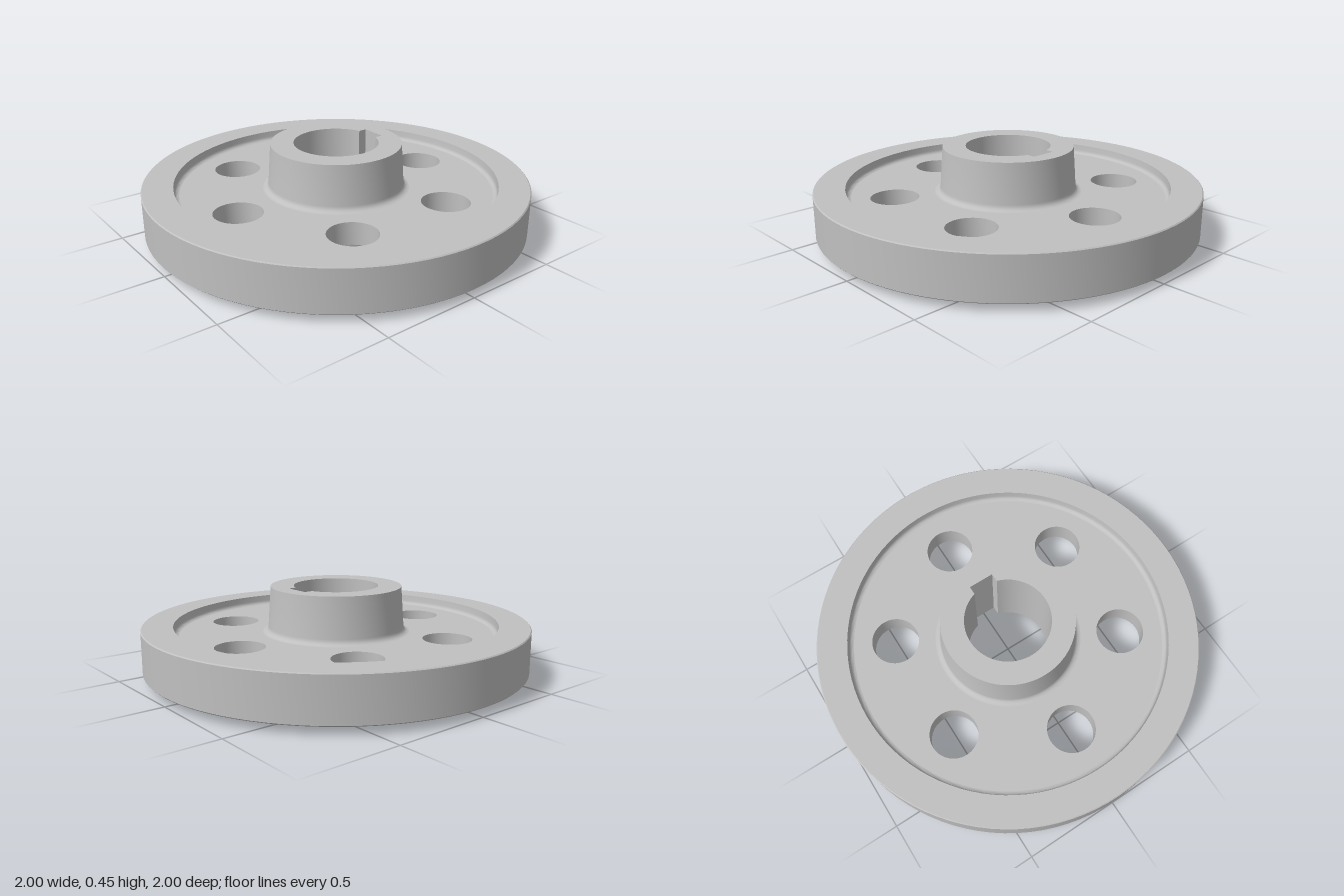
import * as THREE from 'three';
import { toCreasedNormals } from 'three/addons/utils/BufferGeometryUtils.js';

const SEG = 96;
const WEB_TOP = 0.212, WEB_BOTTOM = 0.093;
const HUB_TOP = 0.45, HUB_BOTTOM = 0;
const BORE = 0.22, KEY_HALF = 0.067, KEY_TOP = 0.254;

const v = (x, y) => new THREE.Vector2(x, y);

// Points along an arc, both ends included
function arc(cx, cy, r, a0, a1, n) {
  return Array.from({ length: n + 1 }, (_, i) => {
    const a = a0 + (a1 - a0) * i / n;
    return v(cx + r * Math.cos(a), cy + r * Math.sin(a));
  });
}

// Closed counter-clockwise circle
const circle = (cx, cy, r, n) => arc(cx, cy, r, 0, Math.PI * 2, n).slice(0, n);

export function createModel() {
  const group = new THREE.Group();
  const steel = new THREE.MeshStandardMaterial({ color: 0xc0c0c0 });
  steel.name = 'grey steel';

  function add(name, geometry) {
    const mesh = new THREE.Mesh(geometry, steel);
    mesh.name = name;
    group.add(mesh);
  }

  // Turned surface from a (radius, height) profile
  function turned(name, profile) {
    add(name, toCreasedNormals(new THREE.LatheGeometry(profile, SEG), 0.6));
  }

  // Flat face with holes, facing up or down
  function face(name, outline, holes, y, up) {
    const shape = new THREE.Shape(outline);
    shape.holes = holes.map((h) => new THREE.Path(h));
    const g = new THREE.ShapeGeometry(shape);
    if (!up) {
      g.index.array.reverse();
      g.computeVertexNormals();
    }
    g.rotateX(-Math.PI / 2).translate(0, y, 0);
    add(name, g);
  }

  // Wall of a hole, facing into the hole
  function holeWall(name, loop, y0, y1) {
    const pos = [];
    loop.forEach((a, i) => {
      const b = loop[(i + 1) % loop.length];
      pos.push(a.x, y0, -a.y, a.x, y1, -a.y, b.x, y1, -b.y);
      pos.push(a.x, y0, -a.y, b.x, y1, -b.y, b.x, y0, -b.y);
    });
    const g = new THREE.BufferGeometry();
    g.setAttribute('position', new THREE.Float32BufferAttribute(pos, 3));
    add(name, toCreasedNormals(g, 0.6));
  }

  // Rim with drafted inner walls, fillets and broken outer edges
  const f = 0.022;
  turned('rim', [
    ...arc(0.815, WEB_BOTTOM - f, f, Math.PI / 2, 0, 4),
    v(0.84, 0.04), v(0.995, 0.04), v(1, 0.045),
    v(1, 0.26), v(0.995, 0.265), v(0.84, 0.265),
    ...arc(0.815, WEB_TOP + f, f, 0, -Math.PI / 2, 4),
  ]);

  // Tapered hub flanks with fillets into the web
  const h = 0.03;
  turned('hubLowerFlank', [
    v(0.34, HUB_BOTTOM),
    ...arc(0.376, WEB_BOTTOM - h, h, Math.PI, Math.PI / 2, 5),
  ]);
  turned('hubUpperFlank', [
    ...arc(0.385, WEB_TOP + h, h, -Math.PI / 2, -Math.PI, 5),
    v(0.34, HUB_TOP),
  ]);

  // Web with six round holes
  const holes = Array.from({ length: 6 }, (_, i) => {
    const a = Math.PI / 6 + i * Math.PI / 3;
    return circle(0.595 * Math.cos(a), 0.595 * Math.sin(a), 0.124, 48);
  });
  const webEdge = circle(0, 0, 0.815, SEG);
  face('webTop', webEdge, [circle(0, 0, 0.385, SEG), ...holes], WEB_TOP, true);
  face('webBottom', webEdge, [circle(0, 0, 0.376, SEG), ...holes], WEB_BOTTOM, false);
  holes.forEach((loop) => holeWall('webHole', loop, WEB_BOTTOM, WEB_TOP));

  // Bore with keyway at the back
  const k = Math.asin(KEY_HALF / BORE);
  const bore = [
    ...arc(0, 0, BORE, Math.PI / 2 + k, Math.PI * 2.5 - k, 80),
    v(KEY_HALF, KEY_TOP), v(-KEY_HALF, KEY_TOP),
  ];
  const hubEdge = circle(0, 0, 0.34, SEG);
  face('hubTop', hubEdge, [bore], HUB_TOP, true);
  face('hubBottom', hubEdge, [bore], HUB_BOTTOM, false);
  holeWall('boreAndKeyway', bore, HUB_BOTTOM, HUB_TOP);

  return group;
}
